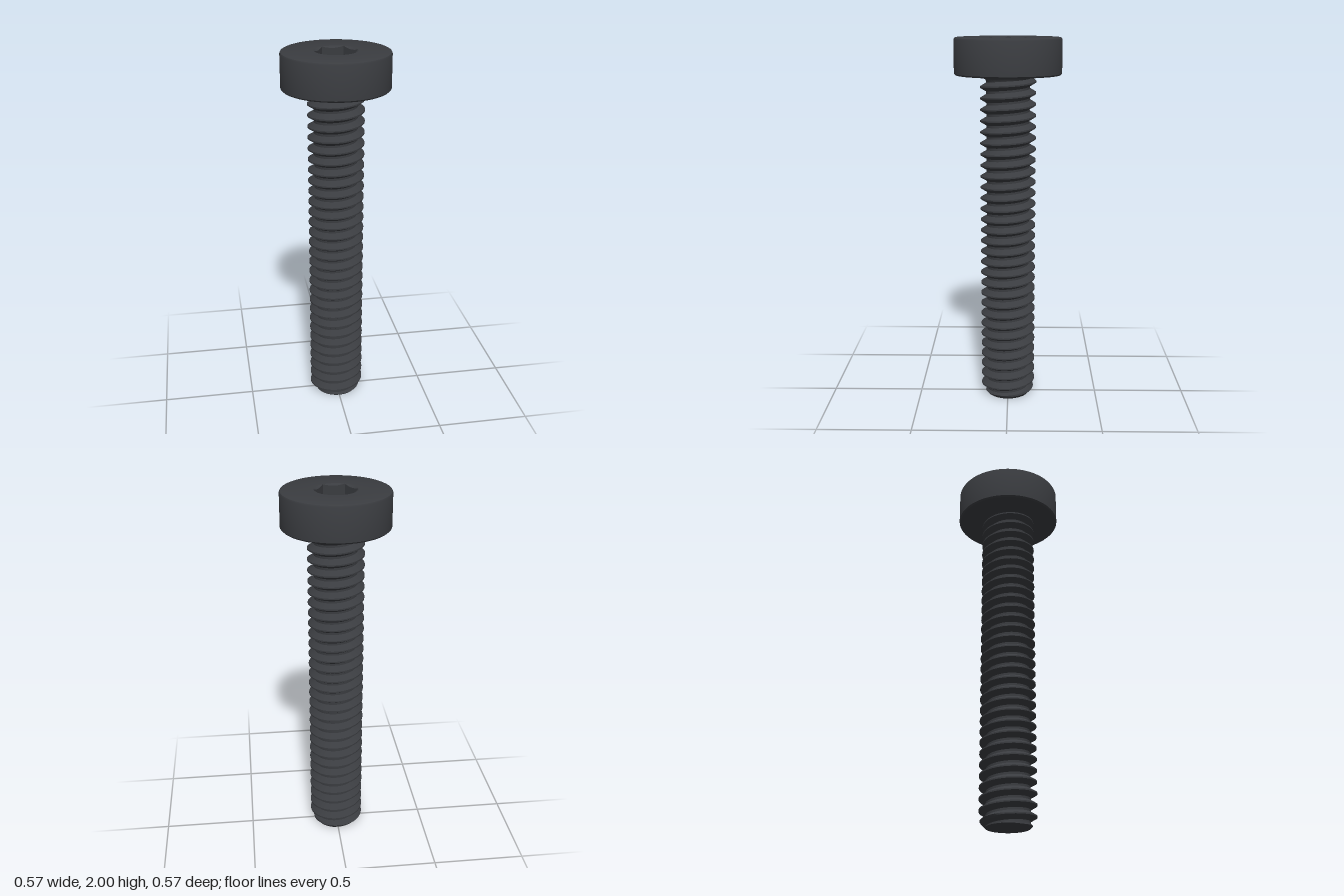
import * as THREE from 'three';
import { toCreasedNormals } from 'three/addons/utils/BufferGeometryUtils.js';

const SEG = 72;
const TOP = 2, HEAD_Y = 1.805, HEAD_R = 0.286;
const PITCH = 0.0602, MAJOR = 0.15, MINOR = 0.116;
const SOCKET_R = 0.113, SOCKET_DEPTH = 0.1;

const material = new THREE.MeshStandardMaterial({ color: 0x3a3c40 });

function addMesh(group, name, geometry, crease = 0.5) {
  const mesh = new THREE.Mesh(toCreasedNormals(geometry, crease), material);
  mesh.name = name;
  group.add(mesh);
}

// Closed strip of rings: point(row, angle) returns [radius, y]
function ringSurface(rows, point) {
  const pos = [], index = [];
  for (let i = 0; i < rows; i++) {
    for (let j = 0; j <= SEG; j++) {
      const a = (j / SEG) * Math.PI * 2;
      const [r, y] = point(i, a);
      pos.push(r * Math.cos(a), y, -r * Math.sin(a));
      if (i < rows - 1 && j < SEG) {
        const p = i * (SEG + 1) + j, q = p + SEG + 1;
        index.push(p, p + 1, q, p + 1, q + 1, q);
      }
    }
  }
  const g = new THREE.BufferGeometry();
  g.setAttribute('position', new THREE.Float32BufferAttribute(pos, 3));
  g.setIndex(index);
  return g;
}

const lathe = (points) =>
  new THREE.LatheGeometry(points.map(([x, y]) => new THREE.Vector2(x, y)), SEG);

// Thread radius at an angle and height, narrowed by the end chamfer
function threadRadius(angle, y) {
  const turn = (y - 0.01) / PITCH - angle / (Math.PI * 2);
  const f = Math.abs(turn - Math.round(turn));
  const t = THREE.MathUtils.clamp((f - 0.0625) / (0.4 - 0.0625), 0, 1);
  return Math.min(MAJOR + (MINOR - MAJOR) * t, 0.118 + y * 0.9);
}

export function createModel() {
  const group = new THREE.Group();
  group.name = 'socketScrew';

  // Head: cylinder with small edge bevels, open at the socket
  addMesh(group, 'head', lathe([
    [0.1, HEAD_Y], [HEAD_R - 0.008, HEAD_Y], [HEAD_R, HEAD_Y + 0.008],
    [HEAD_R, TOP - 0.012], [HEAD_R - 0.004, TOP - 0.004],
    [HEAD_R - 0.012, TOP], [SOCKET_R, TOP],
  ]));

  // Hex socket: conical lead-in, six walls, flat floor
  const hexRadius = (a) => {
    const sector = Math.PI / 3;
    const local = (a + 1e-9) % sector - sector / 2;
    return SOCKET_R * Math.cos(sector / 2) / Math.cos(local);
  };
  addMesh(group, 'hexSocket', ringSurface(4, (i, a) => {
    const r = hexRadius(a);
    return [
      [SOCKET_R, TOP],
      [r, TOP - (SOCKET_R - r) * 0.58],
      [r, TOP - SOCKET_DEPTH],
      [0, TOP - SOCKET_DEPTH],
    ][i];
  }));

  // Fillet between the shank and the underside of the head
  const fillet = 0.042, neck = [];
  for (let i = 0; i <= 8; i++) {
    const a = (i / 8) * Math.PI / 2;
    neck.push([MINOR + fillet * (1 - Math.cos(a)), HEAD_Y - fillet * (1 - Math.sin(a))]);
  }
  addMesh(group, 'neckFillet', lathe(neck));

  // Threaded shank: rows follow the helix and are clamped at both ends
  const steps = [-0.0625, 0.0625, 0.23, 0.4, 0.6, 0.77];
  const rows = steps.length * 33;
  addMesh(group, 'threadedShank', ringSurface(rows, (i, a) => {
    const turn = Math.floor(i / steps.length) - 1.5 + steps[i % steps.length];
    const raw = 0.01 + PITCH * (Math.round(turn - steps[i % steps.length] + 0.5) - 1
      + steps[i % steps.length] + a / (Math.PI * 2));
    const y = THREE.MathUtils.clamp(raw, 0, HEAD_Y);
    return [threadRadius(a, y), y];
  }), 0.6);

  // Flat tip
  addMesh(group, 'tip', ringSurface(2, (i, a) => [i ? threadRadius(a, 0) : 0, 0]));

  return group;
}
